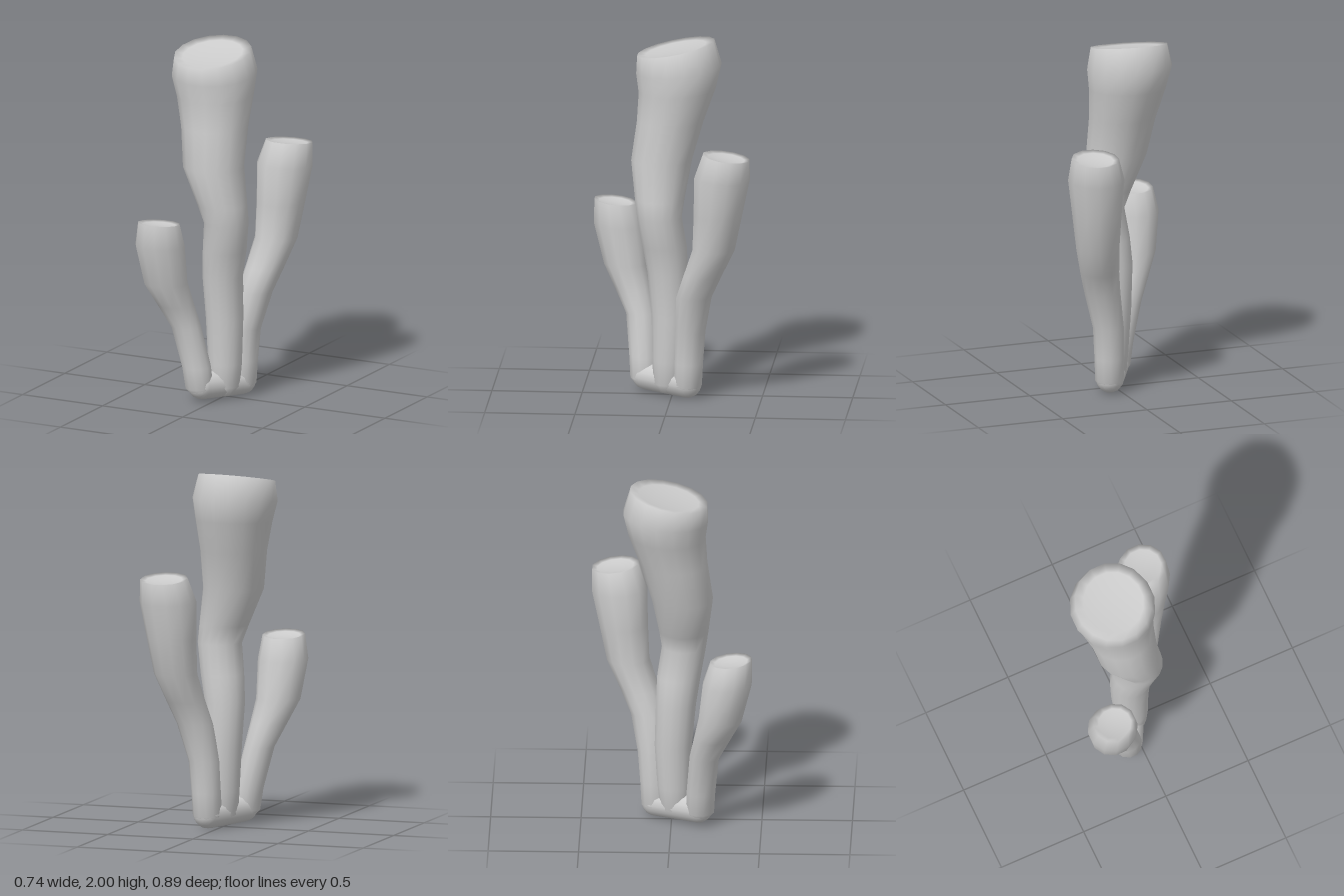
import * as THREE from 'three';

const material = new THREE.MeshStandardMaterial({ color: 0xcccccc });

// Smooth closed tube lofted through rings [x, y, z, radius, tiltZ = 0, tiltX = 0];
// the tilts are the slopes of the ring along z and x.
function loft(name, rings, sides) {
  const pos = [], index = [];
  for (const [x, y, z, r, tz = 0, tx = 0] of rings) {
    for (let i = 0; i < sides; i++) {
      const a = (i + 0.5) / sides * Math.PI * 2;
      const dx = Math.cos(a) * r, dz = Math.sin(a) * r;
      pos.push(x + dx, y + dz * tz + dx * tx, z + dz);
    }
  }
  for (let k = 0; k < rings.length - 1; k++) {
    for (let i = 0; i < sides; i++) {
      const j = (i + 1) % sides;
      const a = k * sides + i, b = k * sides + j, c = a + sides, d = b + sides;
      index.push(a, c, b, b, c, d);
    }
  }
  // close both ends with a centre point
  const first = rings[0], last = rings[rings.length - 1];
  const top = (rings.length - 1) * sides, bottomMid = pos.length / 3;
  pos.push(first[0], first[1], first[2], last[0], last[1], last[2]);
  for (let i = 0; i < sides; i++) {
    const j = (i + 1) % sides;
    index.push(bottomMid, i, j, bottomMid + 1, top + j, top + i);
  }
  const geometry = new THREE.BufferGeometry();
  geometry.setAttribute('position', new THREE.Float32BufferAttribute(pos, 3));
  geometry.setIndex(index);
  geometry.computeVertexNormals();
  const mesh = new THREE.Mesh(geometry, material);
  mesh.name = name;
  return mesh;
}

// Rim ring followed by a slightly sunken cap
function mouth(x, y, z, r, tz, tx = 0) {
  return [
    [x, y, z, r, tz, tx],
    [x, y - 0.008, z, r * 0.78, tz, tx],
    [x, y - 0.016, z, r * 0.4, tz, tx],
  ];
}

export function createModel() {
  const group = new THREE.Group();
  group.name = 'tubeCluster';

  // Tall middle tube
  group.add(loft('mainTube', [
    [0.01, 0.02, 0.02, 0.05],
    [0.01, 0.07, 0.02, 0.085],
    [0.01, 0.2, 0.015, 0.095],
    [0.005, 0.45, 0.01, 0.105],
    [0.0, 0.7, 0.025, 0.113],
    [0.02, 0.85, 0.04, 0.122],
    [0.045, 1.02, 0.068, 0.124],
    [0.02, 1.12, 0.068, 0.138],
    [-0.038, 1.33, 0.062, 0.17],
    [-0.055, 1.55, 0.015, 0.187],
    [-0.07, 1.72, -0.022, 0.215, -0.05],
    [-0.08, 1.84, -0.03, 0.238, -0.1],
    ...mouth(-0.083, 1.957, -0.012, 0.215, -0.21, 0.02),
  ], 16));

  // Short tube leaning to the front
  group.add(loft('frontTube', [
    [-0.065, 0.03, 0.15, 0.045],
    [-0.075, 0.08, 0.16, 0.08],
    [-0.09, 0.2, 0.165, 0.082],
    [-0.145, 0.43, 0.185, 0.084],
    [-0.185, 0.56, 0.23, 0.103],
    [-0.224, 0.69, 0.275, 0.123],
    [-0.238, 0.91, 0.315, 0.14, 0.05],
    ...mouth(-0.235, 1.042, 0.335, 0.118, 0.11),
  ], 12));

  // Medium tube leaning to the back
  group.add(loft('backTube', [
    [0.055, 0.015, -0.085, 0.045],
    [0.062, 0.07, -0.09, 0.08],
    [0.066, 0.2, -0.095, 0.082],
    [0.075, 0.38, -0.105, 0.086],
    [0.12, 0.59, -0.13, 0.1],
    [0.155, 0.72, -0.18, 0.108],
    [0.192, 0.88, -0.245, 0.12],
    [0.207, 1.08, -0.27, 0.137],
    [0.22, 1.29, -0.293, 0.157, 0.06],
    ...mouth(0.235, 1.418, -0.317, 0.132, 0.13),
  ], 12));

  // Rounded foot joining the three tubes
  const from = new THREE.Vector3(-0.065, 0.09, 0.15);
  const to = new THREE.Vector3(0.06, 0.078, -0.088);
  const along = to.clone().sub(from);
  const foot = new THREE.Mesh(new THREE.CapsuleGeometry(0.078, along.length(), 6, 14), material);
  foot.position.copy(from).add(to).multiplyScalar(0.5);
  foot.quaternion.setFromUnitVectors(new THREE.Vector3(0, 1, 0), along.normalize());
  foot.name = 'foot';
  group.add(foot);

  return group;
}
